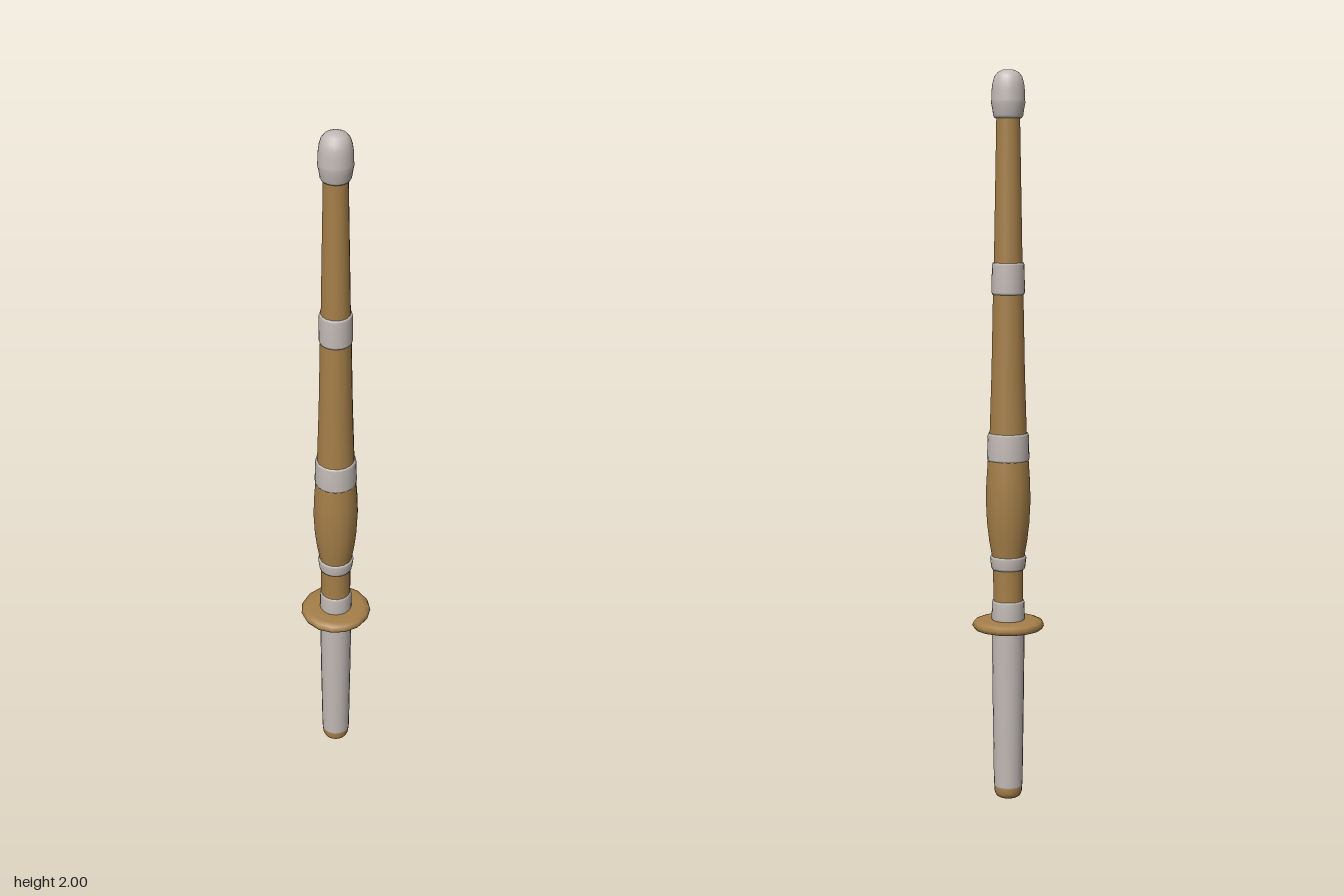
import * as THREE from 'three';

const bamboo = new THREE.MeshStandardMaterial({ color: 0xa57f49 });
bamboo.name = 'bamboo';
const leather = new THREE.MeshStandardMaterial({ color: 0xc2bab6 });
leather.name = 'pale leather';

export function createModel() {
  const group = new THREE.Group();
  group.name = 'practiceSword';

  // Turned part from [radius, height] pairs, listed from bottom to top
  function turned(name, material, profile, sides = 20) {
    const points = profile.map(([r, y]) => new THREE.Vector2(r, y));
    const mesh = new THREE.Mesh(new THREE.LatheGeometry(points, sides, Math.PI), material);
    mesh.name = name;
    group.add(mesh);
  }

  // Leather band with softly rounded rims
  function band(name, y0, y1, r0, r1, inner) {
    const b = 0.006;
    turned(name, leather, [
      [inner, y0], [r0 - 0.002, y0], [r0, y0 + b],
      [r1, y1 - b], [r1 - 0.002, y1], [inner, y1],
    ]);
  }

  // Handle
  turned('pommel', bamboo, [
    [0, 0], [0.028, 0], [0.034, 0.004], [0.038, 0.014], [0.039, 0.03], [0.036, 0.034],
  ]);
  turned('gripSleeve', leather, [
    [0.03, 0.027], [0.037, 0.027], [0.04, 0.034], [0.043, 0.25], [0.045, 0.44], [0.045, 0.49],
  ]);

  // Disc guard with a rounded rim
  turned('guard', bamboo, [
    [0.04, 0.48], [0.08, 0.479], [0.094, 0.483], [0.1, 0.493],
    [0.094, 0.503], [0.08, 0.508], [0.04, 0.508],
  ], 15);
  band('guardCollar', 0.505, 0.562, 0.046, 0.045, 0.035);

  // Blade staves
  turned('lowerBlade', bamboo, [
    [0.042, 0.55], [0.042, 0.66], [0.046, 0.69], [0.053, 0.73], [0.059, 0.78],
    [0.062, 0.84], [0.061, 0.89], [0.057, 0.95], [0.053, 1.0],
  ], 16);
  turned('upperBlade', bamboo, [
    [0.053, 1.0], [0.051, 1.04], [0.046, 1.2], [0.042, 1.4], [0.039, 1.5], [0.032, 1.885],
  ], 16);

  // Bands around the staves
  band('lowerBand', 0.65, 0.687, 0.047, 0.05, 0.038);
  band('middleBand', 0.952, 1.028, 0.058, 0.056, 0.048);
  band('upperBand', 1.405, 1.49, 0.045, 0.044, 0.036);

  // Tip cap with a raised seam
  turned('tipCap', leather, [
    [0.028, 1.873], [0.036, 1.873], [0.04, 1.88], [0.043, 1.9], [0.046, 1.914], [0.045, 1.92],
    [0.0445, 1.945], [0.042, 1.965], [0.037, 1.982], [0.028, 1.993], [0.015, 1.999], [0, 2],
  ], 24);

  return group;
}
